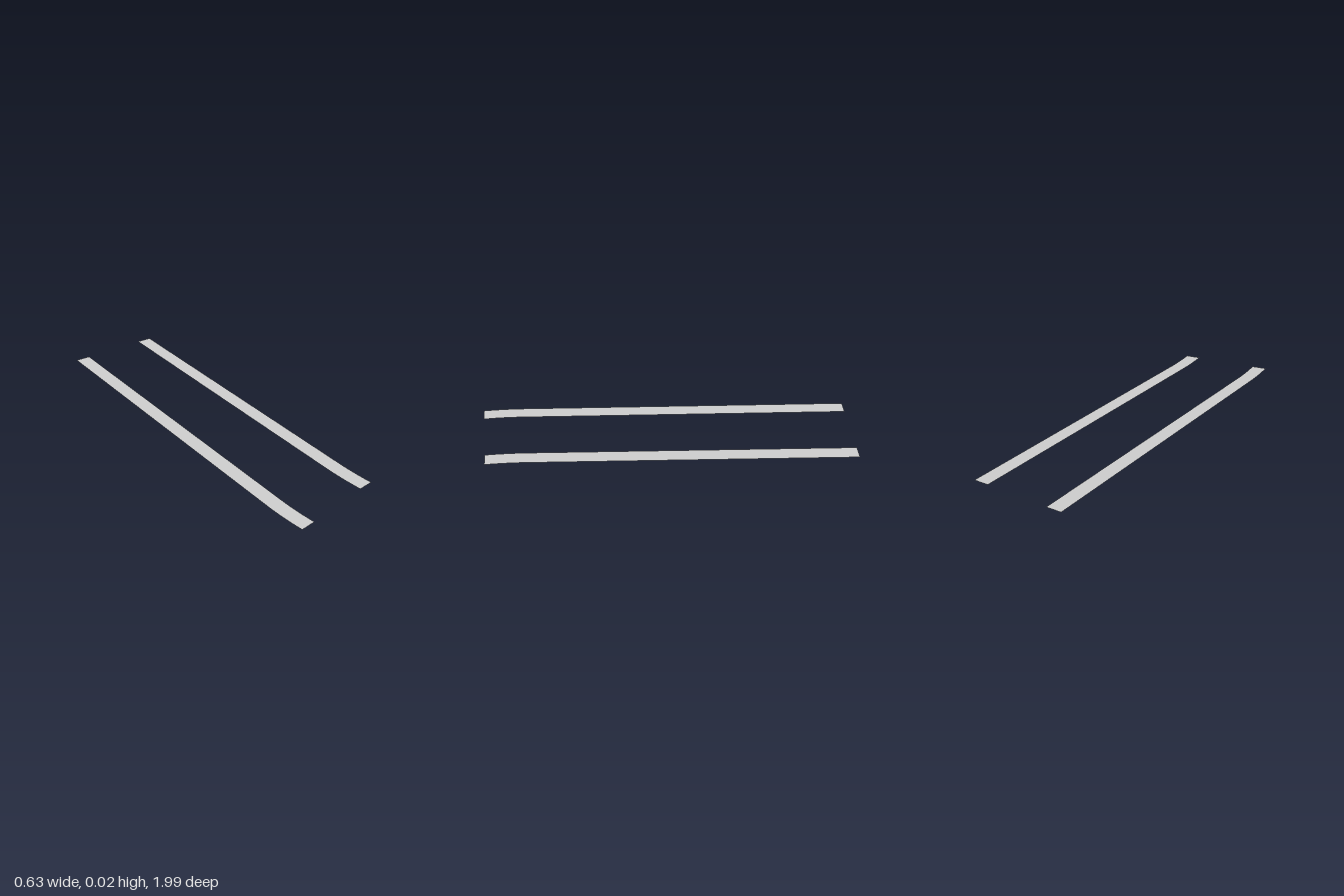
import * as THREE from 'three';

const WIDTH = 0.082;
const TILT = 0.001; // each strip leans slightly down towards +x

// Flat ribbon: a long straight run followed by a gentle bend at the front.
function makeStrip(name, back, bend, front, yBack, yFront) {
  const start = new THREE.Vector2(...back);
  const knee = new THREE.Vector2(...bend);
  const end = new THREE.Vector2(...front);
  const dir = knee.clone().sub(start).normalize();
  const control = knee.clone().addScaledVector(dir, knee.distanceTo(end) / 2);
  const run = new THREE.LineCurve(start, knee);
  const curve = new THREE.QuadraticBezierCurve(knee, control, end);

  // Cross-sections as [centre, tangent]
  const sections = [];
  for (let i = 0; i < 4; i++) sections.push([run.getPoint(i / 4), dir]);
  for (let i = 0; i <= 6; i++) sections.push([curve.getPoint(i / 6), curve.getTangent(i / 6)]);

  const positions = [];
  const indices = [];
  sections.forEach(([p, t], i) => {
    const y = THREE.MathUtils.mapLinear(p.y, start.y, end.y, yBack, yFront);
    for (const side of [-1, 1]) {
      const s = side * WIDTH / 2;
      positions.push(p.x + t.y * s, y - side * TILT, p.y - t.x * s);
    }
    if (i > 0) {
      const a = 2 * (i - 1);
      indices.push(a, a + 2, a + 1, a + 1, a + 2, a + 3);
    }
  });

  const geometry = new THREE.BufferGeometry();
  geometry.setAttribute('position', new THREE.Float32BufferAttribute(positions, 3));
  geometry.setIndex(indices);
  geometry.computeVertexNormals();
  const material = new THREE.MeshStandardMaterial({ color: 0xcccccc, side: THREE.DoubleSide });
  const mesh = new THREE.Mesh(geometry, material);
  mesh.name = name;
  return mesh;
}

export function createModel() {
  const group = new THREE.Group();
  group.name = 'trackStrips';
  // Path points are [x, z]
  group.add(
    makeStrip('rightStrip', [-0.275, -0.975], [-0.17, 0.77], [-0.143, 0.983], 0.016, 0.003),
    makeStrip('leftStrip', [0.15, -0.998], [0.247, 0.68], [0.272, 0.893], 0.013, 0.001),
  );
  return group;
}
